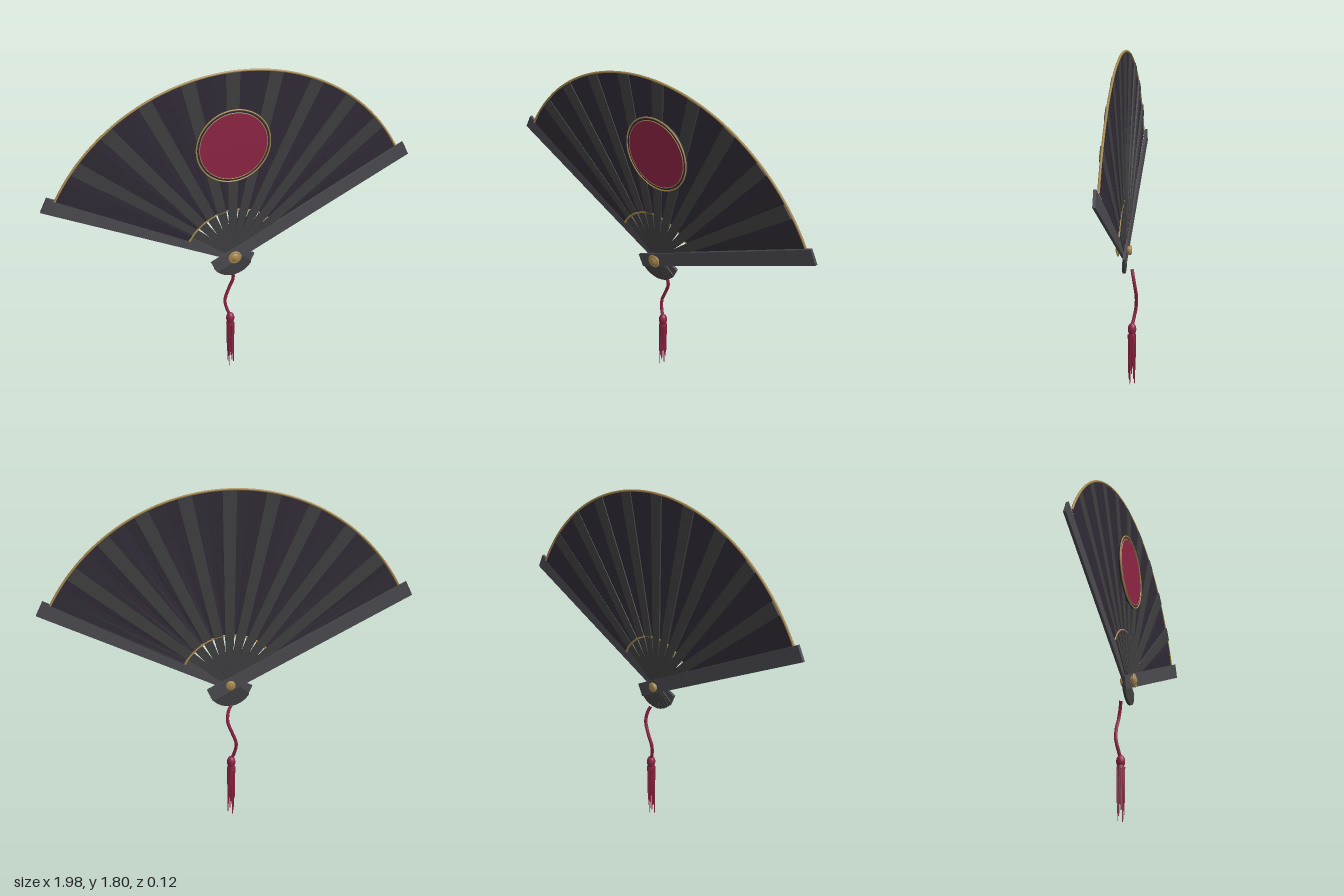
import * as THREE from 'three';

const PIVOT_Y = 0.755;
const LEAF_Z = 0.012;
const STEP = THREE.MathUtils.degToRad(12.8);
const LEAF_HALF = THREE.MathUtils.degToRad(62);
const INNER = 0.27, OUTER = 1.04;

const mat = (color, extra = {}) => new THREE.MeshStandardMaterial({ color, ...extra });

export function createModel() {
  const root = new THREE.Group();
  const ribMat = mat(0x3f3f41);
  const guardMat = mat(0x4b4a50);
  const leafMat = mat(0x302a35, { side: THREE.DoubleSide, flatShading: true });
  const darkMat = mat(0x302a35);
  const gold = mat(0xa88a50);
  const red = mat(0x8e2443);

  const add = (name, geometry, material, parent, x = 0, y = 0, z = 0) => {
    const mesh = new THREE.Mesh(geometry, material);
    mesh.name = name;
    mesh.position.set(x, y, z);
    parent.add(mesh);
    return mesh;
  };

  // Everything that opens around the rivet
  const fan = new THREE.Group();
  fan.name = 'fan';
  fan.position.y = PIVOT_Y;
  root.add(fan);

  // Flat stick from a mirrored half-width profile [distance, halfWidth]
  const stickGeometry = (profile, depth) => {
    const right = profile.map(([r, w]) => new THREE.Vector2(w, r));
    const left = profile.map(([r, w]) => new THREE.Vector2(-w, r)).reverse();
    const geo = new THREE.ExtrudeGeometry(new THREE.Shape([...right, ...left]), { depth, bevelEnabled: false });
    return geo.translate(0, 0, -depth / 2);
  };
  const ribGeo = stickGeometry([[-0.125, 0.012], [-0.118, 0.02], [0, 0.016], [0.155, 0.0175], [0.27, 0.024], [1.035, 0.037]], 0.013);
  const guardGeo = stickGeometry([[-0.122, 0.035], [1.082, 0.041]], 0.014);

  // Ribs stacked slightly from back (right) to front (left)
  for (let i = -4; i <= 4; i++) {
    add('rib', ribGeo, ribMat, fan, 0, 0, LEAF_Z + i * 0.0012).rotation.z = -i * STEP;
  }
  // Outer guards, one behind and one in front
  for (const side of [-1, 1]) {
    add('guard', guardGeo, guardMat, fan, 0, 0, LEAF_Z + side * 0.0105).rotation.z = -side * 5 * STEP;
  }

  // Pleated leaf: shallow folds between the ribs
  const segments = 40;
  const leafGeo = new THREE.RingGeometry(INNER, OUTER, segments, 1, Math.PI / 2 - LEAF_HALF, 2 * LEAF_HALF);
  const p = leafGeo.attributes.position;
  for (let i = 0; i < p.count; i++) {
    const k = (i % (segments + 1)) % 4;
    p.setZ(i, k === 2 ? 0.003 : k === 0 ? -0.001 : 0.001);
  }
  leafGeo.computeVertexNormals();
  add('leaf', leafGeo, leafMat, fan, 0, 0, LEAF_Z);

  // Gold trim along both curved edges
  for (const [name, radius, tube] of [['outerTrim', OUTER, 0.006], ['innerTrim', INNER, 0.006]]) {
    const trim = new THREE.TorusGeometry(radius, tube, 8, 72, 2 * LEAF_HALF);
    add(name, trim, gold, fan, 0, 0, LEAF_Z).rotation.z = Math.PI / 2 - LEAF_HALF;
  }

  // Round medallion on the front
  const medallion = new THREE.Group();
  medallion.name = 'medallion';
  medallion.position.set(0, 1.4, 0);
  root.add(medallion);
  const disc = (r, depth) => new THREE.CylinderGeometry(r, r, depth, 64).rotateX(Math.PI / 2);
  add('medallionPlate', disc(0.198, 0.012), darkMat, medallion, 0, 0, 0.022);
  add('medallionDisc', disc(0.18, 0.014), red, medallion, 0, 0, 0.023);
  add('medallionOuterRing', new THREE.TorusGeometry(0.197, 0.004, 8, 64), gold, medallion, 0, 0, 0.028);
  add('medallionInnerRing', new THREE.TorusGeometry(0.181, 0.0025, 8, 64), gold, medallion, 0, 0, 0.029);

  // Rivet: back cap, shaft, front flange and dome
  const rivetProfile = [
    [0, -0.028], [0.02, -0.026], [0.026, -0.02], [0.026, -0.014], [0.022, -0.012], [0.022, 0.043],
    [0.036, 0.044], [0.036, 0.05], [0.03, 0.052], [0.024, 0.05], [0.021, 0.054], [0.013, 0.058], [0, 0.06],
  ].map(([r, z]) => new THREE.Vector2(r, z));
  add('rivet', new THREE.LatheGeometry(rivetProfile, 32).rotateX(Math.PI / 2), gold, fan);

  // Cord hanging behind the hub
  const cord = new THREE.CatmullRomCurve3([
    [0, 0.65, -0.028], [0.017, 0.615, -0.036], [0.022, 0.56, -0.046], [0, 0.5, -0.051],
    [-0.024, 0.43, -0.046], [-0.016, 0.375, -0.036], [0, 0.335, -0.028],
  ].map((v) => new THREE.Vector3(...v)));
  add('cord', new THREE.TubeGeometry(cord, 48, 0.009, 8), red, root);

  // Tassel: head, collar and tapering strands of uneven length
  const tassel = new THREE.Group();
  tassel.name = 'tassel';
  tassel.position.z = -0.028;
  root.add(tassel);
  add('tasselHead', new THREE.SphereGeometry(0.023, 20, 14).scale(1, 1.5, 1), red, tassel, 0, 0.318);
  add('tasselCollar', new THREE.CylinderGeometry(0.017, 0.021, 0.02, 16), red, tassel, 0, 0.285);
  const ends = [0.07, 0.02, 0.1, 0.04, 0.09, 0, 0.06, 0.1, 0.03, 0.08, 0.01, 0.09, 0.05, 0.1];
  ends.forEach((end, i) => {
    const a = i * 2 * Math.PI / ends.length;
    const r = i % 2 ? 0.018 : 0.014;
    const length = 0.288 - end;
    const strand = new THREE.CylinderGeometry(0.0055, 0.002, length, 6);
    add('tasselStrand', strand, red, tassel, Math.cos(a) * r, end + length / 2, Math.sin(a) * r);
  });

  return root;
}
